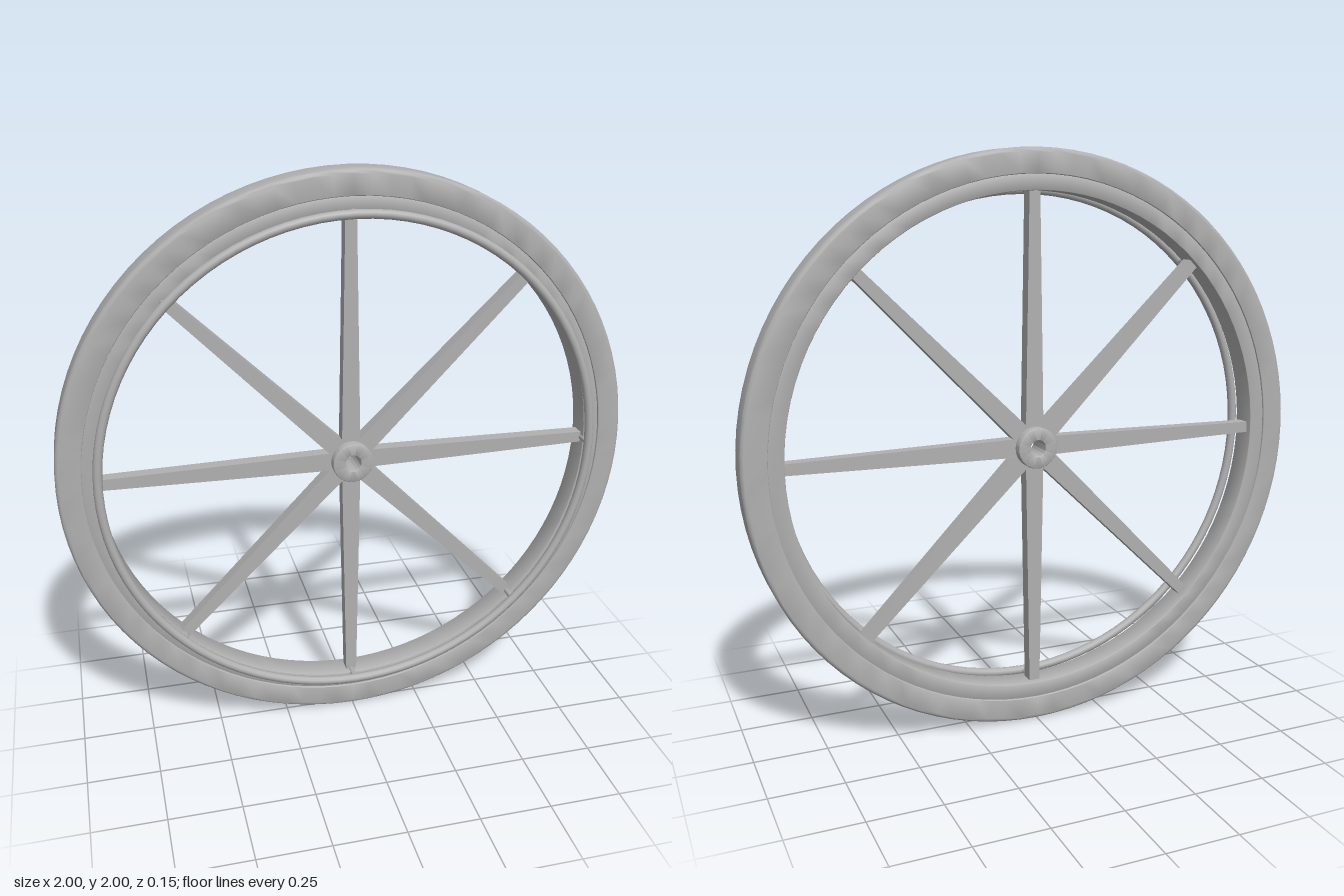
import * as THREE from 'three';
import { toCreasedNormals } from 'three/addons/utils/BufferGeometryUtils.js';

const grey = new THREE.MeshStandardMaterial({ color: 0xb0b0b0 });
grey.name = 'grey';

const MID = -0.022; // middle plane of the wheel
const SPOKES = 8;

function add(group, name, geometry) {
  const mesh = new THREE.Mesh(geometry, grey);
  mesh.name = name;
  group.add(mesh);
  return mesh;
}

// Closed ring around the z axis with rounded edges
function ring(inner, outer, halfDepth, outerRound, innerRound) {
  const points = [];
  const corner = (r, z, start, round) => {
    for (let i = 0; i <= 4; i++) {
      const a = start + (i / 4) * Math.PI / 2;
      points.push(new THREE.Vector2(r + round * Math.cos(a), z + round * Math.sin(a)));
    }
  };
  const o = outerRound, n = innerRound;
  corner(outer - o, -halfDepth + o, -Math.PI / 2, o);
  corner(outer - o, halfDepth - o, 0, o);
  corner(inner + n, halfDepth - n, Math.PI / 2, n);
  corner(inner + n, -halfDepth + n, Math.PI, n);
  points.push(points[0].clone());
  const geometry = new THREE.LatheGeometry(points, 96).rotateX(Math.PI / 2);
  return toCreasedNormals(geometry, 0.6);
}

// Square bar along +y that narrows toward the rim
function spokeGeometry() {
  const start = 0.045, end = 0.875;
  const geometry = new THREE.BoxGeometry(1, end - start, 0.046);
  geometry.translate(0, (start + end) / 2, 0);
  const p = geometry.attributes.position;
  for (let i = 0; i < p.count; i++) {
    const width = p.getY(i) > 0.5 ? 0.038 : 0.066;
    p.setX(i, p.getX(i) * width);
  }
  geometry.computeVertexNormals();
  return geometry;
}

export function createModel() {
  const model = new THREE.Group();
  model.name = 'wheel';
  const wheel = new THREE.Group();
  wheel.name = 'wheelAssembly';
  wheel.position.y = 1;
  model.add(wheel);

  // Tyre, slightly recessed rim and hollow hub
  add(wheel, 'tyre', ring(0.915, 1, 0.053, 0.016, 0.003)).position.z = MID;
  add(wheel, 'rim', ring(0.862, 0.918, 0.046, 0.003, 0.003)).position.z = MID;
  add(wheel, 'hub', ring(0.028, 0.071, 0.055, 0.004, 0.003)).position.z = MID;

  // Hand rim standing off the front
  add(wheel, 'handRim', new THREE.TorusGeometry(0.865, 0.0155, 12, 96)).position.z = 0.061;

  // Spokes, each with a small post holding the hand rim
  const spoke = spokeGeometry();
  const post = new THREE.CylinderGeometry(0.01, 0.01, 0.06, 12).rotateX(Math.PI / 2);
  for (let i = 0; i < SPOKES; i++) {
    const arm = new THREE.Group();
    arm.name = 'arm' + (i + 1);
    arm.rotation.z = (i / SPOKES) * Math.PI * 2;
    add(arm, 'spoke', spoke).position.z = MID;
    add(arm, 'handRimPost', post).position.set(0, 0.866, 0.028);
    wheel.add(arm);
  }
  return model;
}
